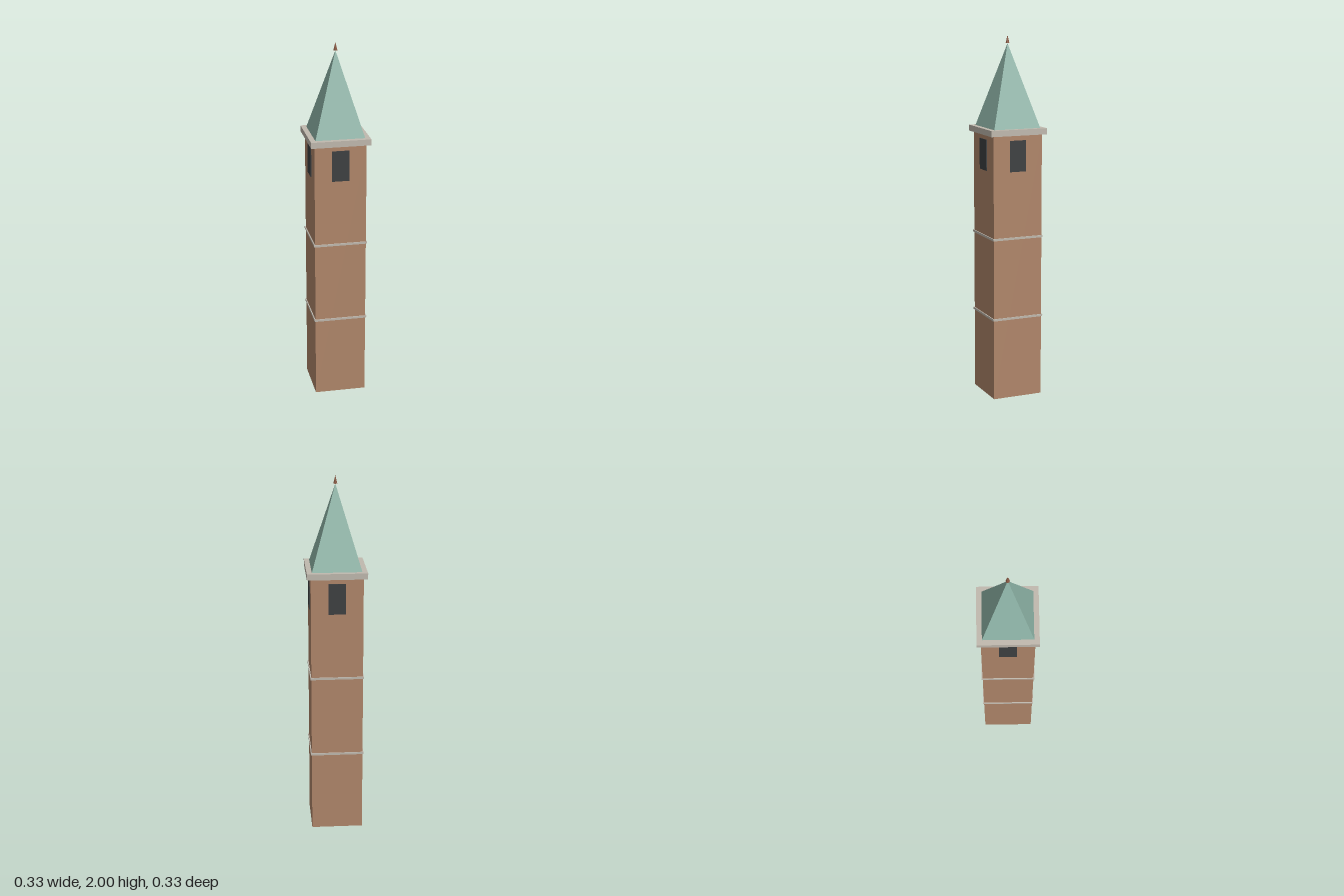
import * as THREE from 'three';

const material = (name, color) => {
  const m = new THREE.MeshStandardMaterial({ color });
  m.name = name;
  return m;
};

export function createModel() {
  const brick = material('brick', 0xb0866a);
  const stone = material('stone', 0xc0b9ae);
  const copper = material('greenCopper', 0x8fb5a8);
  const dark = material('darkOpening', 0x3e4042);
  const rust = material('finialBrown', 0x8a5a44);

  const tower = new THREE.Group();
  tower.name = 'bellTower';

  const add = (name, geometry, mat, y, parent = tower) => {
    const mesh = new THREE.Mesh(geometry, mat);
    mesh.name = name;
    mesh.position.y = y;
    parent.add(mesh);
    return mesh;
  };

  // A square slab standing between two heights
  const slab = (name, width, bottom, top, mat) =>
    add(name, new THREE.BoxGeometry(width, top - bottom, width), mat, (bottom + top) / 2);

  // Shaft, string courses and cornice
  slab('shaft', 0.284, 0, 1.47, brick);
  slab('lowerStringCourse', 0.295, 0.449, 0.461, stone);
  slab('upperStringCourse', 0.295, 0.899, 0.911, stone);
  slab('cornice', 0.326, 1.47, 1.503, stone);

  // Belfry openings, one on each side
  ['front', 'left', 'back', 'right'].forEach((side, i) => {
    const pivot = new THREE.Group();
    pivot.name = side + 'Belfry';
    pivot.rotation.y = i * Math.PI / 2;
    tower.add(pivot);
    const opening = add(side + 'Opening', new THREE.BoxGeometry(0.094, 0.17, 0.008), dark, 1.357, pivot);
    opening.position.z = 0.142;
  });

  // Pyramid spire, turned so its sides line up with the shaft
  const spire = new THREE.ConeGeometry(0.135 * Math.SQRT2, 0.452, 4).toNonIndexed();
  spire.rotateY(Math.PI / 4);
  spire.computeVertexNormals();
  add('spire', spire, copper, 1.729);

  // Faceted finial
  const finial = new THREE.ConeGeometry(0.011, 0.045, 8).toNonIndexed();
  finial.computeVertexNormals();
  add('finial', finial, rust, 1.9775);

  return tower;
}
